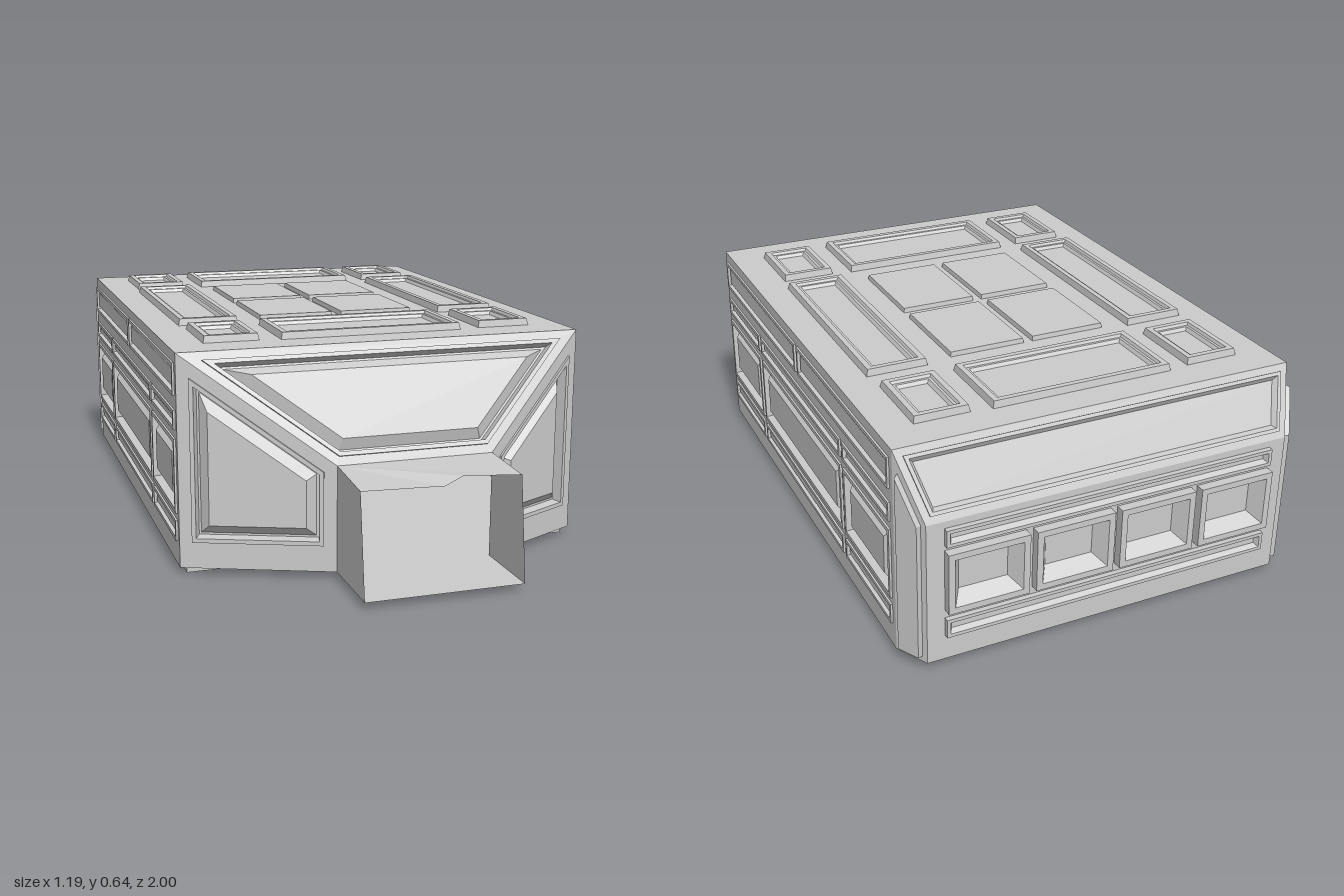
import * as THREE from 'three';

const V = (x, y, z) => new THREE.Vector3(x, y, z);
const mat = new THREE.MeshStandardMaterial({ color: 0xcccccc, side: THREE.DoubleSide, flatShading: true });

// Flat-shaded mesh from triangles (list of Vector3)
function triMesh(name, pts) {
  const g = new THREE.BufferGeometry().setFromPoints(pts);
  g.computeVertexNormals();
  const m = new THREE.Mesh(g, mat);
  m.name = name;
  return m;
}

const fan = (p) => p.slice(2).flatMap((c, i) => [p[0], p[i + 1], c]);

// Move every edge of a convex counter-clockwise polygon inwards by d
function inset(poly, d) {
  const n = poly.length;
  const dir = (i) => poly[(i + 1) % n].clone().sub(poly[i]).normalize();
  return poly.map((p, i) => {
    const a = dir((i + n - 1) % n), b = dir(i);
    const na = new THREE.Vector2(-a.y, a.x), nb = new THREE.Vector2(-b.y, b.x);
    return na.add(nb).multiplyScalar(d / (1 + a.dot(b))).add(p);
  });
}

// Profiles: [inset, height] steps from the wall into the panel
const groovedPane = [[0, 0], [0, 0.006], [0.012, 0.006], [0.016, -0.022], [0.022, -0.022], [0.048, 0.002]];
const groovedStrip = [[0, 0], [0, 0.006], [0.01, 0.006], [0.012, -0.012], [0.015, -0.012], [0.02, 0]];
const rearWindow = [[0, 0], [0, 0.027], [0.018, 0.027], [0.045, -0.015]];
const rearStrip = [[0, 0], [0, 0.015], [0.01, 0.015], [0.018, 0]];
const roofFrame = [[0, 0], [0.004, 0.02], [0.02, 0.02], [0.024, 0.012], [0.032, 0.012], [0.038, 0.002]];
const pad = [[0, 0], [0.002, 0.014]];

const rect = (a0, a1, b0, b1) =>
  [[a0, b0], [a1, b0], [a1, b1], [a0, b1]].map((p) => new THREE.Vector2(...p));

// Planar wall with a hole and a stepped panel for each entry of panels.
// Panels give their outline in the wall's own plane (flat) or as 3D corners.
function wall(name, corners, up, panels) {
  const n = corners[1].clone().sub(corners[0]).cross(corners[2].clone().sub(corners[0])).normalize();
  const u = up.clone().cross(n).normalize(), v = n.clone().cross(u), d = corners[0].dot(n);
  const to2 = (p) => new THREE.Vector2(p.dot(u), p.dot(v));
  const to3 = (p, h) => V(0, 0, 0).addScaledVector(u, p.x).addScaledVector(v, p.y).addScaledVector(n, d + h);
  const group = new THREE.Group();
  group.name = name;
  const outline = corners.map(to2), holes = [];
  for (const { label, flat, solid, margin = 0, steps } of panels) {
    const base = inset(flat || solid.map(to2), margin);
    holes.push(base);
    const rings = steps.map(([i, h]) => inset(base, i).map((p) => to3(p, h)));
    const tris = [];
    for (let r = 0; r + 1 < rings.length; r++) {
      for (let i = 0; i < base.length; i++) {
        const j = (i + 1) % base.length;
        tris.push(...fan([rings[r][i], rings[r][j], rings[r + 1][j], rings[r + 1][i]]));
      }
    }
    tris.push(...fan(rings[rings.length - 1]));
    group.add(triMesh(label, tris));
  }
  const all = [outline, ...holes].flat();
  const faces = THREE.ShapeUtils.triangulateShape(outline, holes);
  group.add(triMesh(name + 'Plate', faces.flat().map((i) => to3(all[i], 0))));
  return group;
}

export function createModel() {
  const model = new THREE.Group();
  const Y = V(0, 1, 0);
  const W = 0.59, B = 0.02, T = 0.62, F = 0.61, R = -0.88; // hull half width, bottom, top, front, rear
  const NL = -0.19, NR = 0.26, NT = 0.32, NZ = 0.77;      // nose opening
  const RW = 0.54, RT = 0.44, RZ = -0.97;                 // rear plate

  // Roof with framed hatches and four central pads
  const roof = [];
  const roofPanel = (label, x0, x1, z0, z1, steps) =>
    roof.push({ label, flat: rect(x0, x1, -z1, -z0), steps });
  for (const [z0, z1] of [[-0.78, -0.55], [0.27, 0.5]]) {
    roofPanel('endHatch', -0.27, 0.27, z0 - 0.01, z1 + 0.01, roofFrame);
    for (const x of [-0.41, 0.41]) roofPanel('cornerHatch', x - 0.08, x + 0.08, z0, z1, roofFrame);
  }
  for (const x of [-0.41, 0.41]) roofPanel('longHatch', x - 0.09, x + 0.09, -0.48, 0.21, roofFrame);
  for (const x of [-0.245, 0.012])
    for (const z of [-0.46, -0.12]) roofPanel('roofPad', x, x + 0.23, z, z + 0.3, pad);
  model.add(wall('roof', [V(-W, T, F), V(W, T, F), V(W, T, R), V(-W, T, R)], V(0, 0, -1), roof));

  // Sides: rows of strips and windows
  for (const s of [1, -1]) {
    const panels = [];
    const add = (label, z0, z1, y0, y1, steps) =>
      panels.push({ label, flat: s > 0 ? rect(-z1, -z0, y0, y1) : rect(z0, z1, y0, y1), steps });
    for (const [z0, z1] of [[-0.13, 0.59], [-0.86, -0.15]]) add('upperStrip', z0, z1, 0.5, 0.59, groovedStrip);
    for (const [z0, z1] of [[0.25, 0.59], [-0.5, 0.23], [-0.86, -0.52]]) {
      add('middleStrip', z0, z1, 0.405, 0.46, groovedStrip);
      add('sideWindow', z0, z1, 0.17, 0.38, groovedPane);
      add('lowerStrip', z0, z1, 0.09, 0.15, groovedStrip);
    }
    const c = [V(s * W, B, F), V(s * W, B, R), V(s * W, T, R), V(s * W, T, F)];
    model.add(wall(s > 0 ? 'leftSide' : 'rightSide', s > 0 ? c : c.reverse(), Y, panels));

    // Slanted front cheek
    const nx = s > 0 ? NR : NL;
    const cheek = (y) => {
      const p = [V(nx, y, NZ), V(s * W, y, F), V(s * W, T, F), V(nx, NT, NZ)];
      return s > 0 ? p : p.reverse();
    };
    model.add(wall(s > 0 ? 'leftCheek' : 'rightCheek', cheek(B), Y,
      [{ label: 'cheekPanel', solid: cheek(0.06), margin: 0.035, steps: groovedPane }]));

    // Chamfered rear corner
    const corner = [V(s * W, B, R), V(s * RW, B, RZ), V(s * RW, RT, RZ), V(s * W, T, R)];
    if (s < 0) corner.reverse();
    model.add(wall(s > 0 ? 'leftRearCorner' : 'rightRearCorner', corner, Y,
      [{ label: 'cornerPlate', solid: corner, margin: 0.016, steps: [[0, 0], [0.002, 0.015]] }]));
  }

  // Sloping windscreen
  const screen = [V(NL, NT, NZ), V(NR, NT, NZ), V(W, T, F), V(-W, T, F)];
  model.add(wall('windscreen', screen, Y,
    [{ label: 'screenPane', solid: screen, margin: 0.025, steps: groovedPane }]));

  // Rear plate with four windows between strips, and the slope above it
  const rear = [];
  for (const x of [-0.375, -0.125, 0.125, 0.375])
    rear.push({ label: 'rearWindow', flat: rect(x - 0.115, x + 0.115, 0.175, 0.355), steps: rearWindow });
  for (const [y0, y1] of [[0.095, 0.15], [0.37, 0.42]])
    rear.push({ label: 'rearStrip', flat: rect(-0.49, 0.49, y0, y1), steps: rearStrip });
  model.add(wall('rear', [V(RW, B, RZ), V(-RW, B, RZ), V(-RW, RT, RZ), V(RW, RT, RZ)], Y, rear));
  const slope = [V(RW, RT, RZ), V(-RW, RT, RZ), V(-W, T, R), V(W, T, R)];
  model.add(wall('rearSlope', slope, Y,
    [{ label: 'slopePane', solid: slope, margin: 0.02, steps: [[0, 0], [0, 0.004], [0.01, 0.004], [0.02, -0.01]] }]));

  // Floor and its four skids
  model.add(wall('floor', [V(-W, B, F), V(-W, B, R), V(-RW, B, RZ), V(RW, B, RZ), V(W, B, R),
    V(W, B, F), V(NR, B, NZ), V(NR, B, 1), V(NL, B, 1), V(NL, B, NZ)], V(0, 0, 1), []));
  for (const [x, w, h] of [[-0.44, 0.26, 0.02], [-0.145, 0.13, 0.012], [0.145, 0.12, 0.012], [0.44, 0.26, 0.02]]) {
    const skid = new THREE.Mesh(new THREE.BoxGeometry(w, h, 1.46), mat);
    skid.name = 'skid';
    skid.position.set(x, B - h / 2, -0.13);
    model.add(skid);
  }

  // Open nose tunnel with an uneven lip
  const lip = [V(NL, NT, NZ), V(NL, 0.305, 0.96), V(0.04, 0.3, 0.965), V(0.1, 0.315, 0.94), V(NR, 0.31, 0.96), V(NR, NT, NZ)];
  model.add(triMesh('noseTop', fan(lip)));
  model.add(triMesh('noseLeft', fan([V(NR, B, NZ), V(NR, NT, NZ), V(NR, 0.31, 0.96), V(NR, B, 1)].reverse())));
  model.add(triMesh('noseRight', fan([V(NL, B, NZ), V(NL, B, 1), V(NL, 0.305, 0.96), V(NL, NT, NZ)])));
  return model;
}
